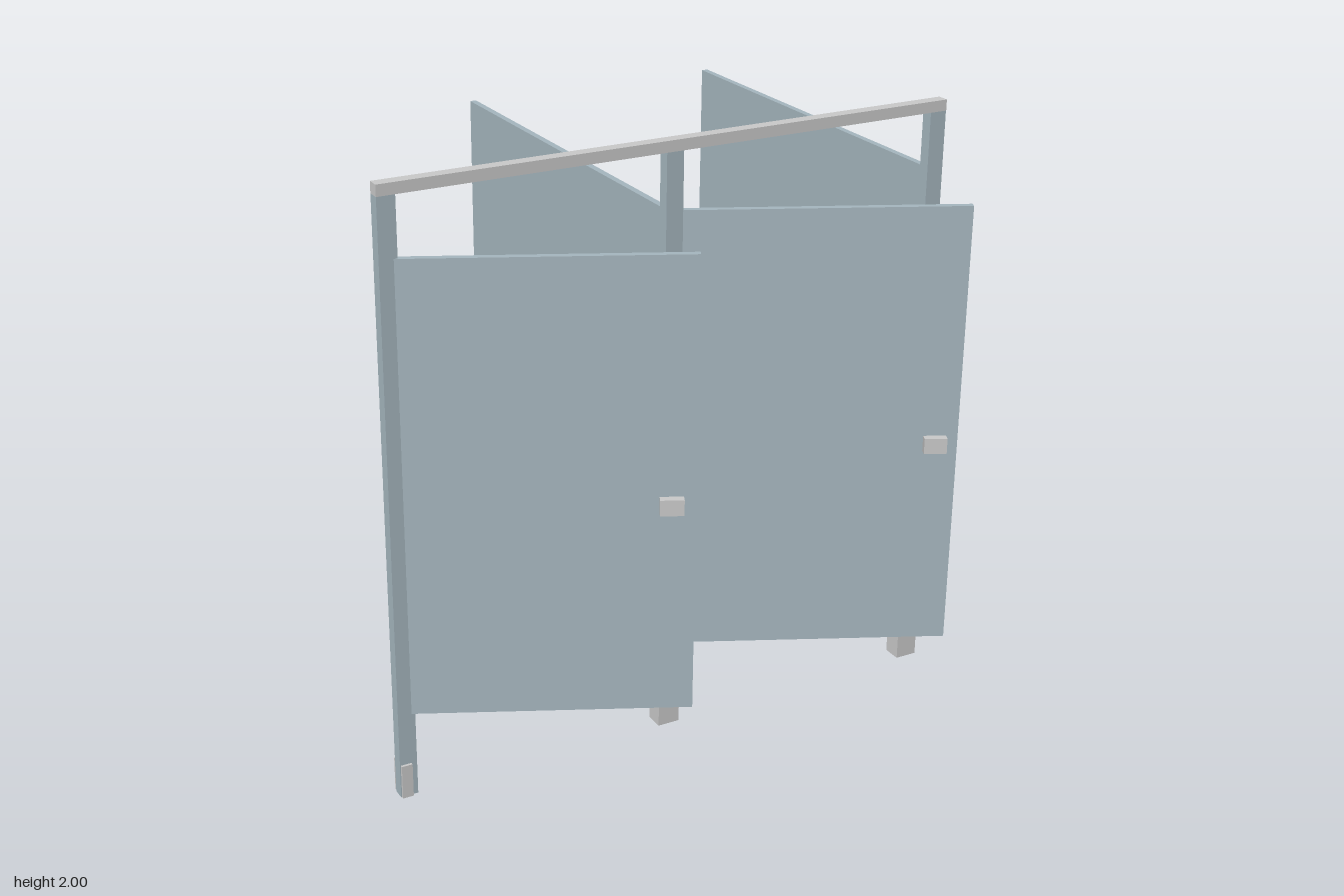
import * as THREE from 'three';

const panelPaint = new THREE.MeshStandardMaterial({ color: 0xa6b7bf });
panelPaint.name = 'panel blue grey';
const metal = new THREE.MeshStandardMaterial({ color: 0xcacaca });
metal.name = 'light metal';

// Box given by its extents on each axis
function box(name, material, [x0, x1], [y0, y1], [z0, z1]) {
  const mesh = new THREE.Mesh(new THREE.BoxGeometry(x1 - x0, y1 - y0, z1 - z0), material);
  mesh.position.set((x0 + x1) / 2, (y0 + y1) / 2, (z0 + z1) / 2);
  mesh.name = name;
  return mesh;
}

const PANEL_Y = [0.29, 1.775];
const POST_Z = [0.5, 0.54];
const THICK = 0.022;

// Door swung open about its hinge, with a latch block through it
function makeDoor(hingeX) {
  const door = new THREE.Group();
  door.name = 'door';
  door.add(
    box('doorPanel', panelPaint, [0, 0.893], PANEL_Y, [-THICK / 2, THICK / 2]),
    box('latch', metal, [0.783, 0.856], [0.963, 1.015], [-0.0375, 0.0375])
  );
  door.position.set(hingeX, 0, 0.52);
  door.rotation.y = -THREE.MathUtils.degToRad(25);
  return door;
}

export function createModel() {
  const model = new THREE.Group();
  model.name = 'toiletCubicles';

  // Posts
  for (const x of [-0.95, -0.022, 0.934]) {
    model.add(box('post', panelPaint, [x - 0.029, x + 0.029], [0, 1.964], POST_Z));
  }

  // Post shoes; the wall-side one is narrow
  for (const span of [[-0.976, -0.94], [-0.06, 0.016], [0.898, 0.974]]) {
    model.add(box('shoe', metal, span, [0, 0.115], [0.486, 0.549]));
  }

  // Head rail
  model.add(box('headRail', metal, [-0.979, 0.964], [1.964, 2], POST_Z));

  // Side partitions running back from the posts
  for (const x of [-0.021, 0.935]) {
    model.add(box('partition', panelPaint, [x - THICK / 2, x + THICK / 2], PANEL_Y, [-0.912, 0.505]));
  }

  // Doors
  for (const x of [-0.95, 0.007]) model.add(makeDoor(x));

  return model;
}
